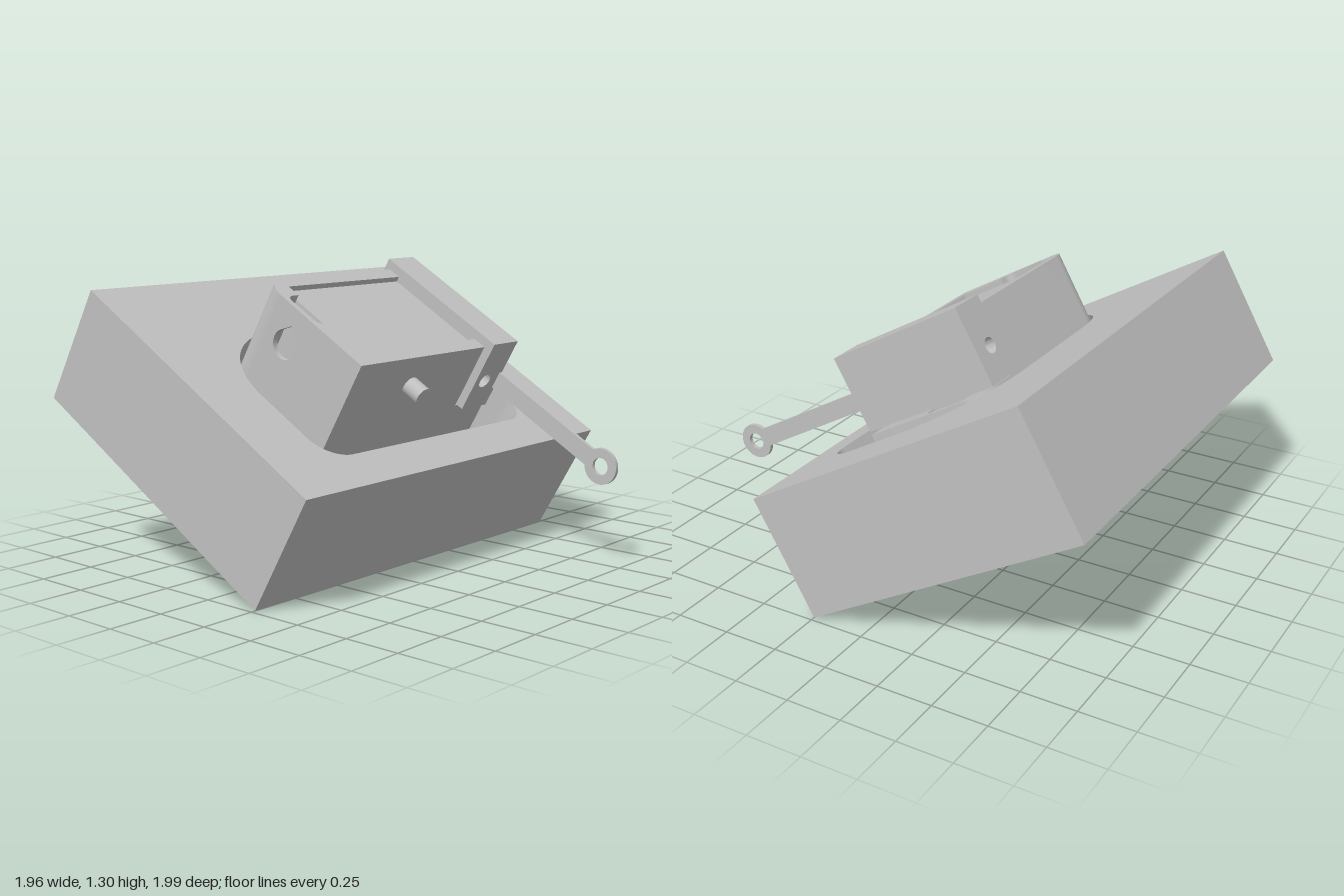
import * as THREE from 'three';
import { toCreasedNormals } from 'three/addons/utils/BufferGeometryUtils.js';

// Local frame: x across, u towards the back (-z), v up from the tilted base.
const grey = new THREE.MeshStandardMaterial({ color: 0xc0c0c0 });
grey.name = 'plain grey';

// Rectangle with radii for corners: front -x, front +x, back +x, back -x
function rect(x0, x1, u0, u1, [a, b, c, d] = [0, 0, 0, 0], S = THREE.Shape) {
  const s = new S(), h = Math.PI / 2;
  s.moveTo(x0 + a, u0);
  s.lineTo(x1 - b, u0);
  if (b) s.absarc(x1 - b, u0 + b, b, -h, 0, false);
  s.lineTo(x1, u1 - c);
  if (c) s.absarc(x1 - c, u1 - c, c, 0, h, false);
  s.lineTo(x0 + d, u1);
  if (d) s.absarc(x0 + d, u1 - d, d, h, 2 * h, false);
  s.lineTo(x0, u0 + a);
  if (a) s.absarc(x0 + a, u0 + a, a, 2 * h, 3 * h, false);
  return s;
}

function circle(x, y, r) {
  return new THREE.Path().absarc(x, y, r, 0, Math.PI * 2, true);
}

const extrude = (shape, depth) => toCreasedNormals(
  new THREE.ExtrudeGeometry(shape, { depth, bevelEnabled: false, curveSegments: 16 }), 0.6);

// Plan shape (x, u) raised from v0 to v1
const raise = (shape, v0, v1) => extrude(shape, v1 - v0).rotateX(-Math.PI / 2).translate(0, v0, 0);

// Side shape (u, v) given thickness from x0 to x1
const across = (shape, x0, x1) => extrude(shape, x1 - x0).rotateY(Math.PI / 2).translate(x0, 0, 0);

export function createModel() {
  const model = new THREE.Group();
  const tilted = new THREE.Group();
  tilted.name = 'tiltedAssembly';
  tilted.rotation.x = Math.PI / 6;
  tilted.position.z = 0.25;
  model.add(tilted);
  const add = (name, geometry) => {
    const mesh = new THREE.Mesh(geometry, grey);
    mesh.name = name;
    tilted.add(mesh);
    return mesh;
  };

  // Base block with a rounded pocket
  add('baseFloor', raise(rect(-0.98, 0.98, 0, 1.44), 0, 0.25));
  const baseRim = rect(-0.98, 0.98, 0, 1.44);
  baseRim.holes.push(rect(-0.68, 0.68, 0.18, 1.016, [0.14, 0.14, 0.4, 0.4], THREE.Path));
  add('baseRim', raise(baseRim, 0.25, 0.565));

  // Lower housing with a notch at each end
  const lower = rect(-0.52, 0.52, 0.336, 0.97, [0, 0, 0.12, 0.12]);
  lower.holes.push(
    rect(-0.495, -0.425, 0.63, 0.84, [0.04, 0, 0, 0.04], THREE.Path),
    rect(0.425, 0.495, 0.63, 0.84, [0, 0.04, 0.04, 0], THREE.Path));
  add('lowerHousing', raise(lower, 0.25, 0.57));

  // Upper housing walls around the lid
  const front = new THREE.Shape();
  front.moveTo(0.3, 0.336);
  front.lineTo(-0.52, 0.336);
  front.lineTo(-0.52, 0.63);
  front.lineTo(-0.495, 0.63);
  front.lineTo(-0.495, 0.67);
  front.quadraticCurveTo(-0.495, 0.63, -0.455, 0.63);
  front.lineTo(-0.425, 0.63);
  front.lineTo(-0.425, 0.4);
  front.lineTo(0.3, 0.4);
  add('frontWall', raise(front, 0.57, 0.89));

  const back = new THREE.Shape();
  back.moveTo(0.3, 0.97);
  back.lineTo(-0.4, 0.97);
  back.absarc(-0.4, 0.85, 0.12, Math.PI / 2, Math.PI, false);
  back.lineTo(-0.52, 0.84);
  back.lineTo(-0.495, 0.84);
  back.lineTo(-0.495, 0.8);
  back.quadraticCurveTo(-0.495, 0.84, -0.455, 0.84);
  back.lineTo(-0.425, 0.84);
  back.lineTo(-0.425, 0.906);
  back.lineTo(0.3, 0.906);
  add('backWall', raise(back, 0.57, 0.89));

  // Thin end wall with a teardrop opening
  const endWall = rect(0.63, 0.84, 0.57, 0.89);
  const drop = new THREE.Path();
  drop.moveTo(0.735, 0.812);
  drop.lineTo(0.689, 0.766);
  drop.absarc(0.735, 0.72, 0.065, Math.PI * 0.75, Math.PI * 2.25, false);
  drop.lineTo(0.735, 0.812);
  endWall.holes.push(drop);
  add('endWall', across(endWall, -0.52, -0.495));

  // Recessed lid
  add('lid', raise(rect(-0.425, 0.3, 0.4, 0.906, [0, 0, 0, 0.03]), 0.57, 0.865));

  // End block with a hole running front to back
  const block = rect(0.3, 0.475, 0.578, 0.93);
  block.holes.push(circle(0.37, 0.725, 0.035));
  add('endBlock', extrude(block, 0.702).translate(0, 0, -0.998));

  // Flat arm ending in a ring
  const arm = new THREE.Shape();
  arm.moveTo(0.3, 0.678);
  arm.lineTo(0.3, 0.76);
  arm.lineTo(-0.284, 0.76);
  arm.absarc(-0.353, 0.719, 0.08, Math.asin(0.5125), Math.PI * 2 - Math.asin(0.5125), false);
  arm.lineTo(0.3, 0.678);
  arm.holes.push(circle(-0.353, 0.719, 0.038));
  add('armWithRing', across(arm, 0.457, 0.475));

  // Stud on the front wall
  const stud = new THREE.CylinderGeometry(0.042, 0.042, 0.12, 24).rotateX(Math.PI / 2);
  add('frontStud', stud).position.set(-0.125, 0.74, -0.31);

  return model;
}
